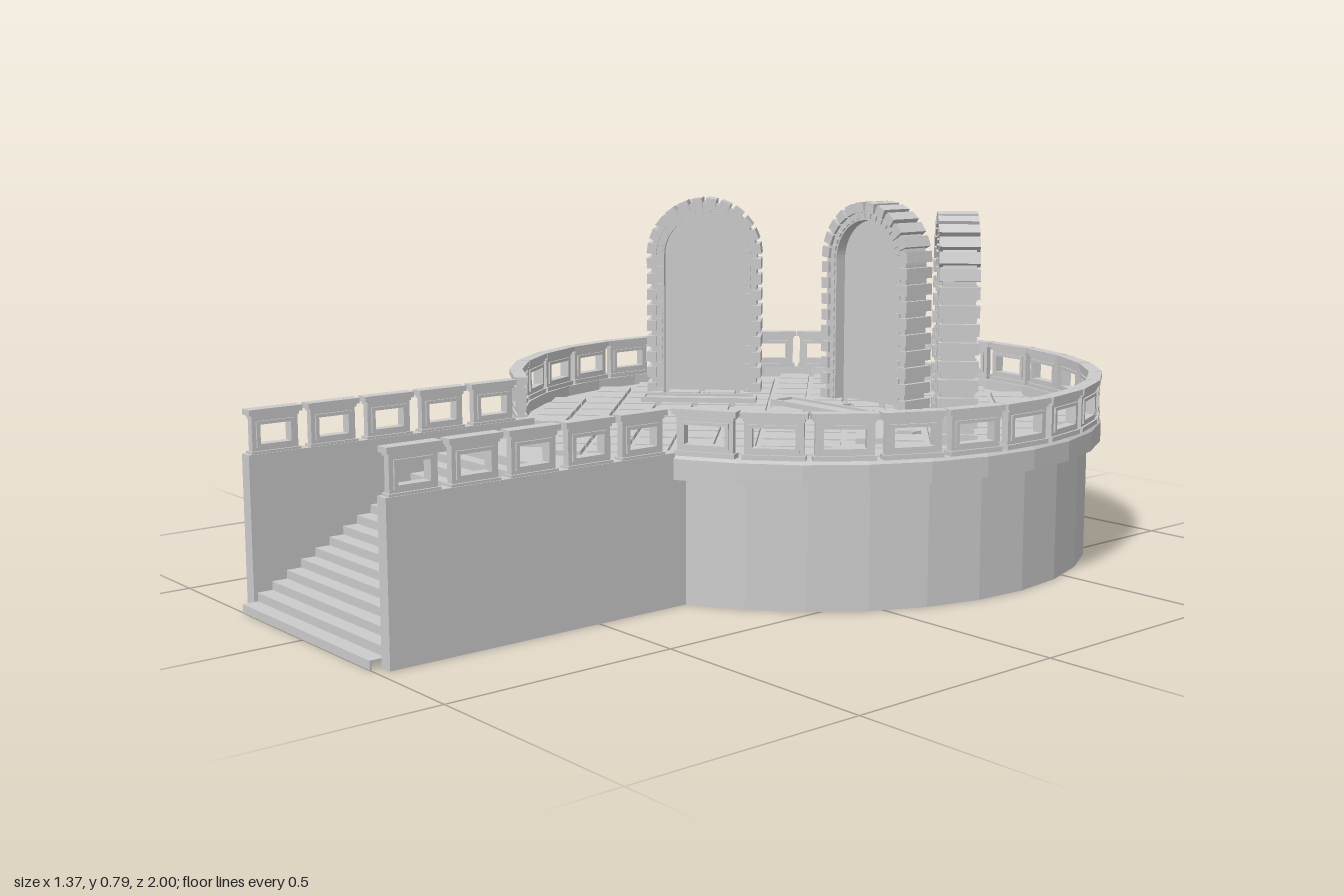
import * as THREE from 'three';
import { mergeGeometries } from 'three/addons/utils/BufferGeometryUtils.js';

const material = new THREE.MeshStandardMaterial({ color: 0xcccccc, flatShading: true, side: THREE.DoubleSide });
const CZ = -0.315; // centre of the round terrace
const FLOOR = 0.29;

function mesh(name, geometry, parent) {
  const m = new THREE.Mesh(geometry, material);
  m.name = name;
  parent.add(m);
  return m;
}

function box(w, h, d, x = 0, y = 0, z = 0) {
  return new THREE.BoxGeometry(w, h, d).translate(x, y, z);
}

function extrude(shape, depth, curveSegments = 16) {
  return new THREE.ExtrudeGeometry(shape, { depth, bevelEnabled: false, curveSegments });
}

function rectPath(Type, w, h, y) {
  return new Type().setFromPoints([[-w, -h], [w, -h], [w, h], [-w, h]]
    .map(([a, b]) => new THREE.Vector2(a / 2, y + b / 2)));
}

// Open ring wall around the terrace, leaving a gap for the stairs
function ringWall(profile, gap) {
  return new THREE.LatheGeometry(profile.map(p => new THREE.Vector2(...p)), 28, gap, Math.PI * 2 - gap * 2)
    .translate(0, 0, CZ);
}

// One balustrade panel: pierced slab, raised moulding, foot and cap
function panelGeometry(w) {
  const slab = rectPath(THREE.Shape, w - 0.016, 0.085, 0.0425);
  slab.holes.push(rectPath(THREE.Path, w - 0.05, 0.04, 0.044));
  const moulding = rectPath(THREE.Shape, w - 0.034, 0.054, 0.044);
  moulding.holes.push(rectPath(THREE.Path, w - 0.05, 0.04, 0.044));
  return mergeGeometries([
    extrude(slab, 0.016).translate(0, 0, -0.008),
    extrude(moulding, 0.024).translate(0, 0, -0.012),
    box(w - 0.008, 0.01, 0.026, 0, 0.005, 0).toNonIndexed(),
    box(w - 0.012, 0.006, 0.024, 0, 0.081, 0).toNonIndexed(),
    box(w, 0.012, 0.03, 0, 0.09, 0).toNonIndexed(),
  ]);
}

// Outline of a round-headed arch standing on y = 0
const SPRING = 0.353;
function archPath(Type, r) {
  const p = new Type();
  p.moveTo(-r, 0);
  p.lineTo(r, 0);
  p.lineTo(r, SPRING);
  p.absarc(0, SPRING, r, 0, Math.PI, false);
  p.lineTo(-r, 0);
  return p;
}

// Blocks set along an arch line of radius r
function archBlocks(r, straight, curved, width, height, depth) {
  const list = [];
  for (let i = 0; i < straight; i++) {
    const y = (i + 0.5) * SPRING / straight;
    for (const s of [-1, 1]) list.push(box(width, height, depth, s * r, y, 0));
  }
  for (let i = 0; i < curved; i++) {
    const a = (i + 0.5) * Math.PI / curved;
    list.push(box(width, height, depth, r, 0, 0).rotateZ(a).translate(0, SPRING, 0));
  }
  return mergeGeometries(list);
}

function portal() {
  const g = new THREE.Group();
  g.name = 'portal';
  const frame = archPath(THREE.Shape, 0.132);
  frame.holes.push(archPath(THREE.Path, 0.1));
  mesh('archFrame', extrude(frame, 0.07).translate(0, 0, -0.035), g);
  mesh('archStones', archBlocks(0.131, 9, 12, 0.024, 0.026, 0.086), g);
  mesh('innerStuds', archBlocks(0.11, 16, 18, 0.012, 0.012, 0.078), g);
  mesh('doorPanel', extrude(archPath(THREE.Shape, 0.102), 0.012).translate(0, 0, -0.006), g);

  // Floor plaque and pointer in front of the doorway
  const border = rectPath(THREE.Shape, 0.28, 0.072, 0);
  border.holes.push(rectPath(THREE.Path, 0.264, 0.056, 0));
  mesh('plaqueBorder', extrude(border, 0.022).rotateX(-Math.PI / 2).translate(0, 0, 0.178), g);
  mesh('plaque', box(0.27, 0.016, 0.062, 0, 0.008, 0.178), g);
  mesh('pointer', mergeGeometries([
    box(0.006, 0.016, 0.045, 0, 0.008, 0.1),
    box(0.006, 0.016, 0.028, 0, 0, 0.01).rotateY(0.8).translate(0, 0.008, 0.075),
    box(0.006, 0.016, 0.028, 0, 0, 0.01).rotateY(-0.8).translate(0, 0.008, 0.075),
  ]), g);
  return g;
}

// Folded sheet of treads and risers
function stairGeometry() {
  const n = 16, run = 0.53 / n, rise = FLOOR / n;
  const upper = [], lower = [];
  for (let i = 0; i < n; i++) {
    const z = 1 - i * run, y = i * rise;
    upper.push(new THREE.Vector2(z, y), new THREE.Vector2(z, y + rise));
    lower.push(new THREE.Vector2(z - 0.005, Math.max(0, y - 0.005)), new THREE.Vector2(z - 0.005, y + rise - 0.005));
  }
  upper.push(new THREE.Vector2(0.47, FLOOR));
  lower.push(new THREE.Vector2(0.47, FLOOR - 0.005));
  return extrude(new THREE.Shape([...upper, ...lower.reverse()]), 0.5).rotateY(-Math.PI / 2).translate(0.25, 0, 0);
}

// Diagonal raised paving clipped to the terrace and landing
function pavingGeometry() {
  const pitch = 0.09, half = pitch / Math.SQRT2, tip = 0.054, list = [];
  for (let row = 0; row < 22; row++) {
    const z = -0.897 + row * half;
    for (let col = -11; col <= 11; col++) {
      if ((row + col) % 2 !== 0) continue;
      const x = col * half;
      const onCircle = Math.hypot(x, z - CZ) + tip < 0.65;
      const onLanding = Math.abs(x) + tip < 0.25 && z > 0 && z + tip < 0.46;
      if (!onCircle && !onLanding) continue;
      list.push(box(0.076, 0.01, 0.076).rotateY(Math.PI / 4).translate(x, FLOOR + 0.005, z));
    }
  }
  return mergeGeometries(list);
}

export function createModel() {
  const model = new THREE.Group();
  model.name = 'portalTerrace';

  // Terrace: hollow drum, projecting rim, floor with landing
  mesh('drumWall', ringWall([[0.655, 0], [0.655, 0.27]], 0.441), model);
  mesh('rim', ringWall([[0.65, 0.265], [0.685, 0.265], [0.685, 0.308], [0.68, 0.315],
    [0.652, 0.315], [0.65, 0.265]], 0.421), model);
  const floor = new THREE.Shape();
  floor.absarc(0, -CZ, 0.655, -Math.PI / 2 + 0.39, Math.PI * 1.5 - 0.39, false);
  floor.lineTo(-0.25, -0.47);
  floor.lineTo(0.25, -0.47);
  mesh('floor', extrude(floor, 0.02, 32).rotateX(-Math.PI / 2).translate(0, FLOOR - 0.02, 0), model);
  mesh('paving', pavingGeometry(), model);

  // Staircase
  mesh('stairs', stairGeometry(), model);
  mesh('stairBackWall', box(0.5, 0.275, 0.006, 0, 0.1375, 0.466), model);
  for (const s of [-1, 1]) {
    mesh('stairSideWall', box(0.03, 0.32, 0.697, s * 0.265, 0.16, 0.6265), model);
  }

  // Balustrades
  const straightPanel = panelGeometry(0.118);
  for (const s of [-1, 1]) {
    for (let i = 0; i < 5; i++) {
      const p = mesh('stairBalustrade', straightPanel, model);
      p.position.set(s * 0.265, 0.315, 0.912 - i * 0.132);
      p.rotation.y = Math.PI / 2;
    }
  }
  const roundPanel = panelGeometry(0.136);
  const count = 26, gap = 0.41;
  for (let i = 0; i < count; i++) {
    const a = gap + (i + 0.5) * (Math.PI * 2 - gap * 2) / count;
    const p = mesh('terraceBalustrade', roundPanel, model);
    p.position.set(Math.sin(a) * 0.667, 0.315, CZ + Math.cos(a) * 0.667);
    p.rotation.y = a;
  }

  // Three portals turned towards the stairs
  for (const [x, z, turn] of [[0, -0.553, 0], [-0.42, -0.37, 1], [0.42, -0.37, -1]]) {
    const g = portal();
    g.position.set(x, FLOOR, z);
    g.rotation.y = turn * Math.PI / 4;
    model.add(g);
  }
  return model;
}
